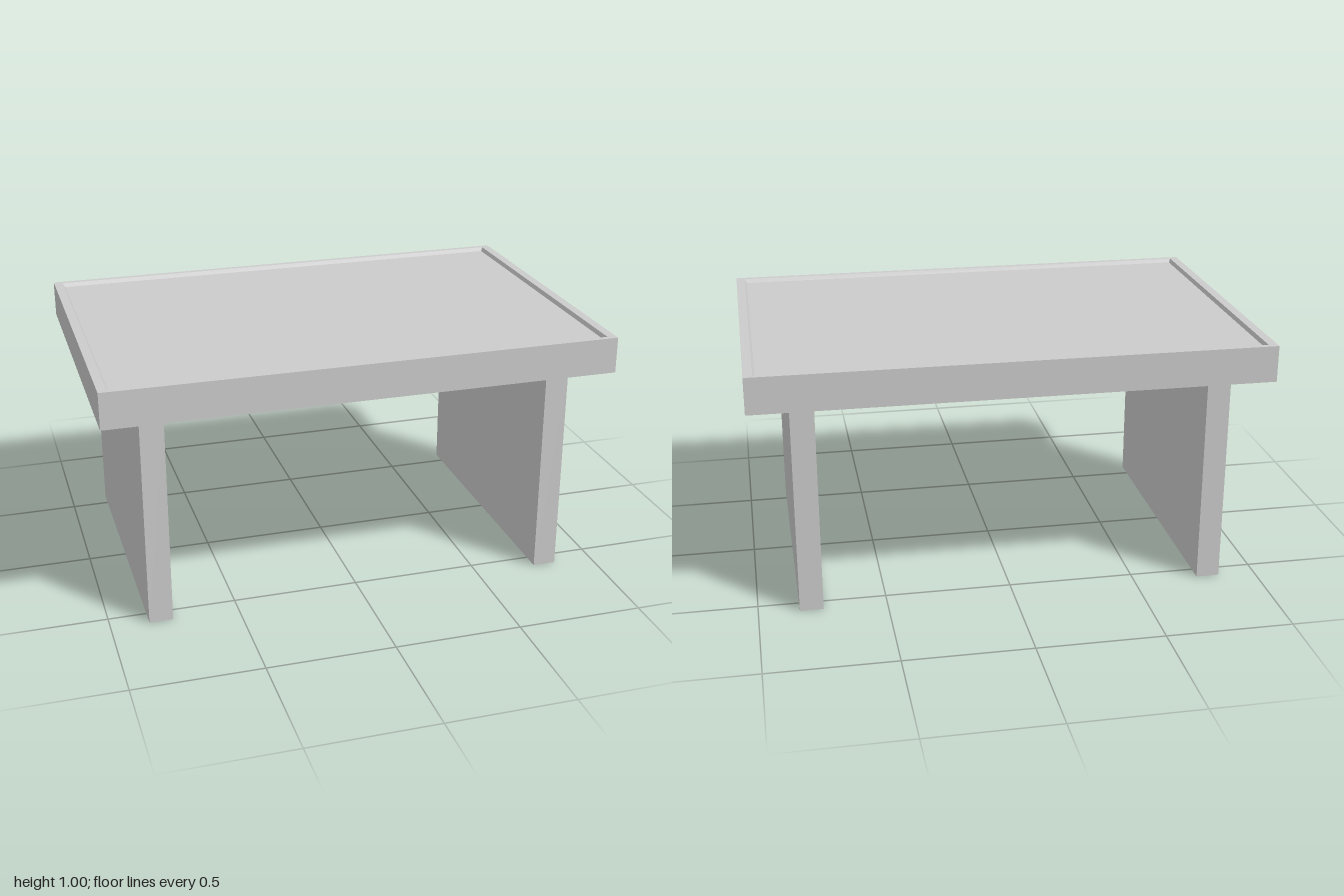
import * as THREE from 'three';

// Loft through rectangular rings [halfX, y, halfZ], closed at both ends
function loftRectangles(rings) {
  const corners = [[1, 1], [1, -1], [-1, -1], [-1, 1]];
  const loops = rings.map(([hx, y, hz]) => corners.map(([sx, sz]) => [sx * hx, y, sz * hz]));
  const positions = [];
  const quad = (a, b, c, d) => positions.push(...a, ...b, ...c, ...a, ...c, ...d);
  for (let r = 0; r < loops.length - 1; r++) {
    const lower = loops[r], upper = loops[r + 1];
    for (let i = 0; i < 4; i++) {
      const j = (i + 1) % 4;
      quad(lower[i], lower[j], upper[j], upper[i]);
    }
  }
  quad(...[...loops[0]].reverse());
  quad(...loops[loops.length - 1]);
  const geometry = new THREE.BufferGeometry();
  geometry.setAttribute('position', new THREE.Float32BufferAttribute(positions, 3));
  geometry.computeVertexNormals();
  return geometry;
}

export function createModel() {
  const group = new THREE.Group();
  group.name = 'table';
  const material = new THREE.MeshStandardMaterial({ color: 0xcccccc, flatShading: true });

  // Thick top with a raised rim around a shallow recessed panel
  const tableTop = new THREE.Mesh(loftRectangles([
    [1, 0.857, 0.653],
    [1, 1, 0.653],
    [0.965, 1, 0.632],
    [0.957, 0.985, 0.622],
  ]), material);
  tableTop.name = 'tableTop';
  group.add(tableTop);

  // Two slab legs
  const legGeometry = new THREE.BoxGeometry(0.092, 0.857, 1.135);
  for (const [name, x] of [['rightLeg', -0.805], ['leftLeg', 0.795]]) {
    const leg = new THREE.Mesh(legGeometry, material);
    leg.name = name;
    leg.position.set(x, 0.4285, 0.003);
    group.add(leg);
  }
  return group;
}
